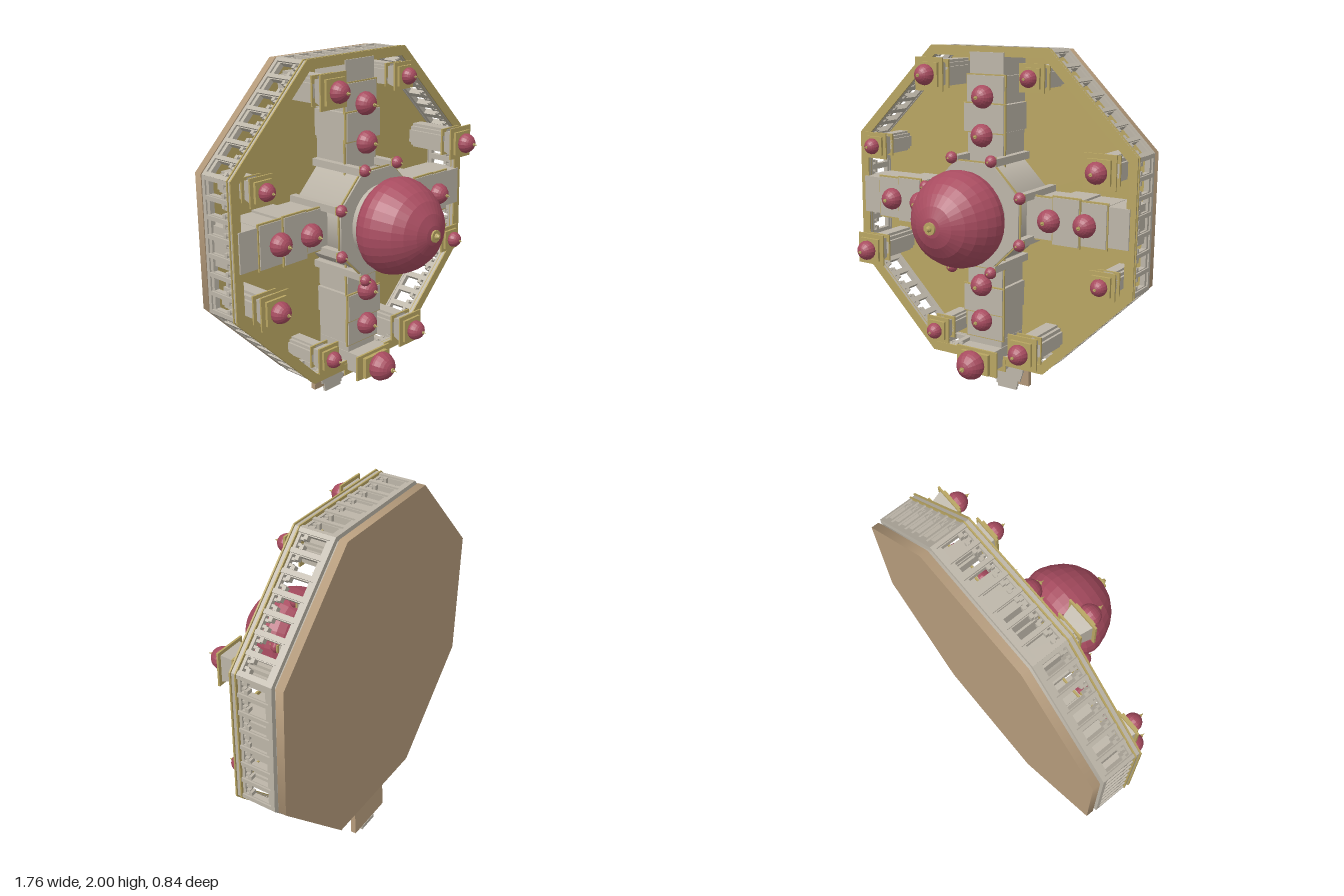
import * as THREE from 'three';

const mat = (name, color) => {
  const m = new THREE.MeshStandardMaterial({ color });
  m.name = name;
  return m;
};

export function createModel() {
  const gold = mat('gold', 0xb8a562);
  const stone = mat('stone', 0xbcb5a8);
  const tan = mat('tan', 0xb59b7b);
  const red = mat('dome red', 0xa84c60);

  // Built with y as height, then tipped so that its roof faces the front
  const temple = new THREE.Group();
  temple.name = 'temple';
  temple.rotation.x = Math.PI / 2;
  temple.position.y = 1.12;

  const add = (parent, name, geo, m, x = 0, y = 0, z = 0) => {
    const mesh = new THREE.Mesh(geo, m);
    mesh.name = name;
    mesh.position.set(x, y, z);
    parent.add(mesh);
    return mesh;
  };
  const group = (name, parent = temple) => {
    const g = new THREE.Group();
    g.name = name;
    parent.add(g);
    return g;
  };
  // Box given by its centre in plan, half widths, bottom and top
  const slab = (p, name, m, x, z, hx, hz, y0, y1) =>
    add(p, name, new THREE.BoxGeometry(hx * 2, y1 - y0, hz * 2), m, x, (y0 + y1) / 2, z);
  // Octagonal prism given by the distance from centre to side
  const octagon = (p, name, m, apothem, y0, y1) => {
    const r = apothem / Math.cos(Math.PI / 8);
    const geo = new THREE.CylinderGeometry(r, r, y1 - y0, 8).rotateY(Math.PI / 8);
    return add(p, name, geo, m, 0, (y0 + y1) / 2, 0);
  };

  // Bulging dome with a gold finial, r is the widest radius
  const profile = [[0.73, 0], [0.86, 0.09], [0.96, 0.22], [1, 0.4], [0.98, 0.55], [0.91, 0.75],
    [0.8, 0.95], [0.64, 1.13], [0.42, 1.28], [0.2, 1.36], [0, 1.385]];
  const dome = (p, x, y, z, r, main = false) => {
    const pts = profile.map(([a, b]) => new THREE.Vector2(a * r, b * r));
    const geo = new THREE.LatheGeometry(pts, main ? 32 : 16).toNonIndexed();
    geo.computeVertexNormals();
    add(p, 'dome', geo, red, x, y, z);
    const top = y + 1.37 * r;
    if (main) {
      add(p, 'finialStem', new THREE.CylinderGeometry(0.014, 0.02, 0.03, 10), gold, x, top + 0.01, z);
      add(p, 'finialDisc', new THREE.CylinderGeometry(0.034, 0.034, 0.01, 10), gold, x, top + 0.01, z);
      add(p, 'finialTip', new THREE.CylinderGeometry(0.008, 0.014, 0.012, 8), gold, x, top + 0.03, z);
    } else {
      add(p, 'finial', new THREE.CylinderGeometry(r * 0.02, r * 0.14, r * 0.5, 8), gold, x, top + r * 0.17, z);
      add(p, 'finialDisc', new THREE.CylinderGeometry(r * 0.17, r * 0.17, r * 0.08, 8), gold, x, top + r * 0.1, z);
    }
  };

  // Base and courtyard floor
  octagon(temple, 'base', tan, 0.865, -0.415, -0.372);
  octagon(temple, 'plinth', stone, 0.845, -0.372, -0.352);
  octagon(temple, 'courtyardFloor', gold, 0.84, -0.352, -0.345);

  // Eight-sided gold roof rings over the gallery
  const ring = (name, m, outer, inner, y0, y1) => {
    const path = (a, Type) => new Type(Array.from({ length: 8 }, (_, i) => {
      const t = (i + 0.5) * Math.PI / 4, r = a / Math.cos(Math.PI / 8);
      return new THREE.Vector2(r * Math.cos(t), r * Math.sin(t));
    }));
    const shape = path(outer, THREE.Shape);
    shape.holes.push(path(inner, THREE.Path));
    const geo = new THREE.ExtrudeGeometry(shape, { depth: y1 - y0, bevelEnabled: false }).rotateX(-Math.PI / 2);
    add(temple, name, geo, m, 0, y0, 0);
  };
  ring('galleryRoof', gold, 0.88, 0.828, -0.138, -0.13);
  ring('galleryCornice', stone, 0.872, 0.832, -0.158, -0.138);
  ring('galleryMoulding', gold, 0.878, 0.834, -0.165, -0.158);
  ring('gallerySill', stone, 0.872, 0.832, -0.356, -0.335);

  // Gallery walls: seven openings on each of the eight sides
  const half = 0.357, step = 0.1;
  const rect = (Type, x0, x1, y0, y1) => new Type([[x0, y0], [x1, y0], [x1, y1], [x0, y1]]
    .map(([x, y]) => new THREE.Vector2(x, y)));
  const wallShape = rect(THREE.Shape, -half, half, -0.345, -0.16);
  for (let i = -3; i <= 3; i++) {
    wallShape.holes.push(rect(THREE.Path, i * step - 0.034, i * step + 0.034, -0.315, -0.18));
  }
  const wallGeo = new THREE.ExtrudeGeometry(wallShape, { depth: 0.028, bevelEnabled: false });
  for (let s = 0; s < 8; s++) {
    const side = group('gallerySide');
    side.rotation.y = s * Math.PI / 4;
    add(side, 'galleryWall', wallGeo, stone, 0, 0, 0.835);
    for (let i = -3; i <= 4; i++) {
      const x = (i - 0.5) * step;
      slab(side, 'pilaster', stone, x, 0.865, 0.011, 0.007, -0.335, -0.165);
      if (i === 4) continue;
      for (const k of [-1, 1]) {
        slab(side, 'bracket', stone, i * step + k * 0.024, 0.85, 0.011, 0.016, -0.22, -0.2);
        slab(side, 'bracketTip', stone, i * step + k * 0.015, 0.85, 0.007, 0.012, -0.205, -0.185);
      }
    }
  }

  // Corner towers with stepped plans, alternately tall and low
  const tower = (x, z, s, drop, r) => {
    const g = group('cornerTower');
    const t = -drop;
    for (const [a, b] of [[0.78, 0.4], [0.4, 0.78], [0.62, 0.62]]) {
      slab(g, 'towerBody', stone, x, z, s * a, s * b, -0.345, t - 0.09);
    }
    const neck = new THREE.CylinderGeometry(s * 0.8 * Math.SQRT2, s * 0.62 * Math.SQRT2, 0.07, 4, 1).rotateY(Math.PI / 4)
      .toNonIndexed();
    neck.computeVertexNormals();
    add(g, 'towerNeck', neck, stone, x, t - 0.06, z);
    slab(g, 'towerLedge', gold, x, z, s * 0.85, s * 0.85, t - 0.1, t - 0.09);
    slab(g, 'towerEaves', gold, x, z, s, s, t - 0.025, t - 0.015);
    slab(g, 'towerRoof', gold, x, z, s * 0.72, s * 0.72, t - 0.015, t);
    dome(g, x, t, z, r);
  };
  [[-0.3, -0.73], [0.73, -0.3], [0.3, 0.73], [-0.73, 0.3]].forEach(([x, z]) => {
    tower(x, z, 0.09, 0, 0.057);
    // the low neighbour is the mirror image of the tall tower
    const [mx, mz] = Math.abs(x) < Math.abs(z) ? [-x, z] : [x, -z];
    tower(mx, mz, 0.074, 0.065, 0.046);
  });

  // Four halls forming a cross: [inner, outer, half width, top]
  const halls = [[0.24, 0.43, 0.112, -0.115], [0.43, 0.58, 0.125, -0.095],
    [0.58, 0.73, 0.115, -0.11]];
  for (let k = 0; k < 4; k++) {
    const arm = group('crossHall');
    arm.rotation.y = k * Math.PI / 2;
    for (const [a, b, w, top] of halls) {
      const c = (a + b) / 2, d = (b - a) / 2;
      slab(arm, 'hallBody', stone, 0, c, w - 0.008, d - 0.002, -0.345, top - 0.016);
      slab(arm, 'hallEaves', gold, 0, c, w + 0.009, d + 0.007, top - 0.016, top - 0.006);
      slab(arm, 'hallRoof', stone, 0, c, w, d, top - 0.006, top);
    }
    slab(arm, 'hallEnd', stone, 0, 0.79, 0.106, 0.06, -0.345, -0.122);
    dome(arm, 0, -0.105, 0.415, 0.063);
    dome(arm, 0, -0.11, 0.62, 0.063);
  }

  // Central drum, its small corner domes and the great dome
  const centre = group('centralShrine');
  octagon(centre, 'drum', stone, 0.262, -0.345, 0);
  octagon(centre, 'drumEaves', gold, 0.29, -0.012, -0.004);
  octagon(centre, 'drumRoof', stone, 0.282, -0.004, 0.006);
  add(centre, 'domeCollar', new THREE.CylinderGeometry(0.2, 0.2, 0.03, 32), stone, 0, 0.02, 0);
  for (let i = 0; i < 8; i++) {
    const t = (i + 0.5) * Math.PI / 4;
    const x = 0.326 * Math.cos(t), z = 0.326 * Math.sin(t);
    slab(centre, 'cornerPillar', stone, x * 0.96, z * 0.96, 0.02, 0.02, -0.345, 0.005);
    slab(centre, 'pillarCap', gold, x, z, 0.022, 0.022, 0.005, 0.012);
    dome(centre, x, 0.012, z, 0.033);
  }
  dome(centre, 0, 0.032, 0, 0.262, true);

  // Entrance porch
  const porch = group('entrancePorch');
  slab(porch, 'porchBody', stone, 0, 0.83, 0.11, 0.055, -0.345, -0.04);
  slab(porch, 'porchFloor', stone, 0, 0.88, 0.13, 0.035, -0.352, -0.335);
  slab(porch, 'porchLintel', stone, 0, 0.885, 0.12, 0.025, -0.165, -0.135);
  slab(porch, 'porchCanopy', gold, 0, 0.88, 0.13, 0.035, -0.135, -0.127);
  for (const x of [-0.1, 0.1]) slab(porch, 'porchColumn', stone, x, 0.898, 0.014, 0.012, -0.335, -0.165);
  slab(porch, 'porchEaves', gold, 0, 0.845, 0.132, 0.072, -0.04, -0.028);
  slab(porch, 'porchRoof', gold, 0, 0.85, 0.09, 0.06, -0.028, -0.005);
  dome(porch, 0, -0.005, 0.85, 0.083);

  // Entrance stair on a sloping tan landing
  const stair = group('entranceStair');
  const landing = slab(stair, 'landing', tan, 0, 0.95, 0.15, 0.125, -0.377, -0.347);
  landing.rotation.x = 0.06;
  for (let i = 0; i < 9; i++) {
    const w = i < 6 ? 0.138 - i * 0.008 : 0.078 - (i - 6) * 0.008;
    const y = -0.322 - i * 0.0045;
    slab(stair, 'step', stone, 0, 0.94 + i * 0.021, w, 0.0115, y - 0.018, y);
  }
  const model = new THREE.Group();
  model.name = 'model';
  model.add(temple);
  return model;
}
